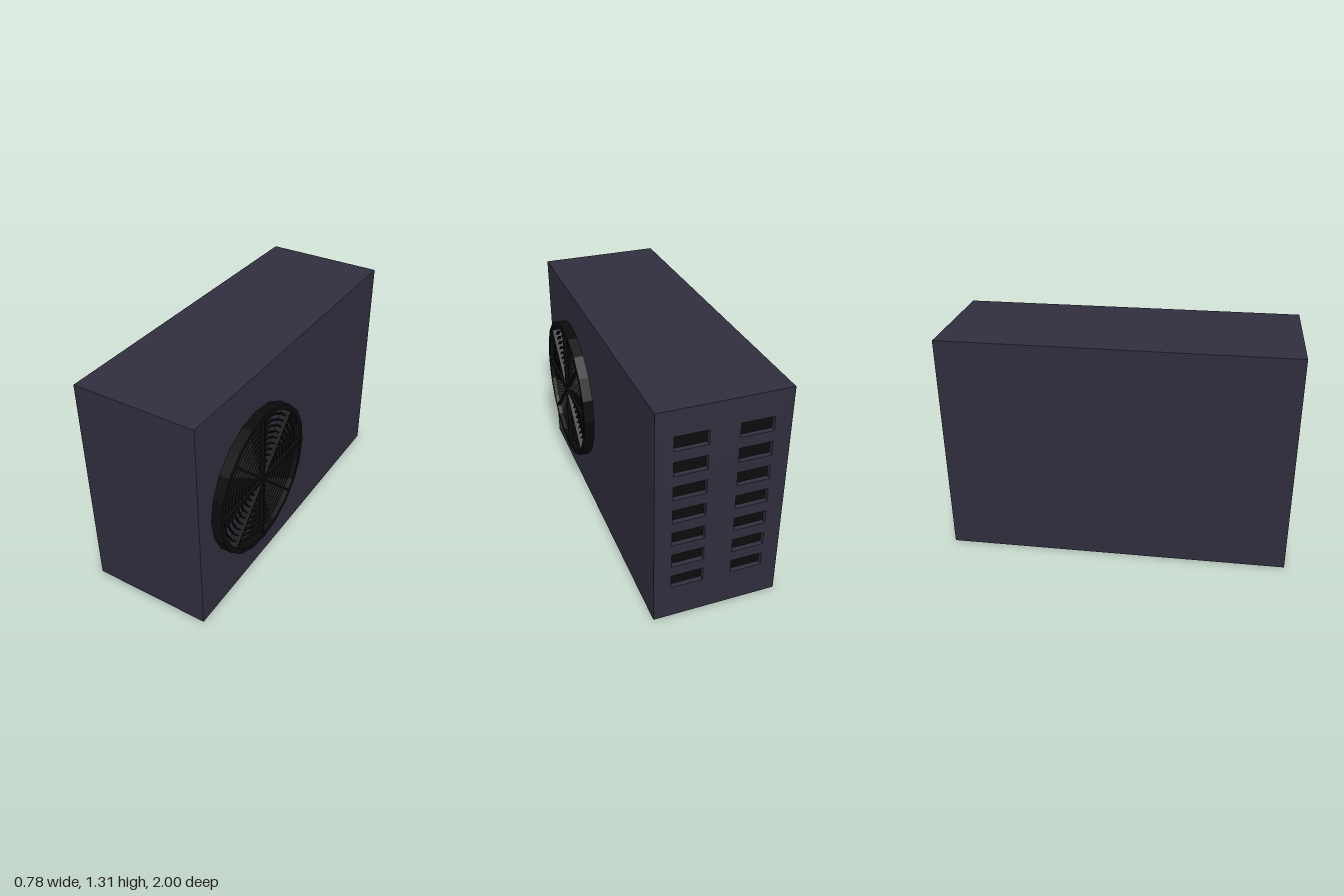
import * as THREE from 'three';

const casingMat = new THREE.MeshStandardMaterial({ color: 0x302d3d, flatShading: true });
const blackMat = new THREE.MeshStandardMaterial({ color: 0x0b0b0b, flatShading: true });

// Casing and fan dimensions
const X0 = -0.39, X1 = 0.33, H = 1.31, WALL = 0.03;
const FAN_DEPTH = 0.06, FAN_Y = 0.655, FAN_Z = 0.455, SIDES = 20;

function add(parent, name, geometry, material) {
  const mesh = new THREE.Mesh(geometry, material);
  mesh.name = name;
  parent.add(mesh);
  return mesh;
}

function polygon(radius) {
  return Array.from({ length: SIDES }, (_, i) => {
    const a = (i / SIDES) * Math.PI * 2;
    return new THREE.Vector2(Math.cos(a) * radius, Math.sin(a) * radius);
  });
}

// Faceted ring with a rectangular section, lying in the xy plane
function ring(outer, inner, depth) {
  const shape = new THREE.Shape(polygon(outer));
  shape.holes.push(new THREE.Path(polygon(inner).reverse()));
  return new THREE.ExtrudeGeometry(shape, { depth, bevelEnabled: false });
}

function rectPoints(x0, y0, x1, y1) {
  return [[x0, y0], [x1, y0], [x1, y1], [x0, y1]].map(([x, y]) => new THREE.Vector2(x, y));
}

function createCasing() {
  const casing = new THREE.Group();
  casing.name = 'casing';
  const cx = (X0 + X1) / 2;

  const body = add(casing, 'body', new THREE.BoxGeometry(X1 - X0, H, 2 - WALL), casingMat);
  body.position.set(cx, H / 2, WALL / 2);

  // Back wall pierced by two columns of vents
  const wall = new THREE.Shape(rectPoints(X0, 0, X1, H));
  for (const x of [0.05, -0.295]) {
    for (let i = 0; i < 7; i++) {
      const y = 1.08 - i * 0.146;
      wall.holes.push(new THREE.Path(rectPoints(x, y, x + 0.183, y + 0.083).reverse()));
    }
  }
  const back = add(casing, 'ventedBackWall',
    new THREE.ExtrudeGeometry(wall, { depth: WALL, bevelEnabled: false }), casingMat);
  back.position.z = -1;

  // Dark interior seen through the vents
  const dark = add(casing, 'ventBacking', new THREE.PlaneGeometry(0.66, 1.2), blackMat);
  dark.rotation.y = Math.PI;
  dark.position.set(cx, H / 2, -1 + WALL - 0.002);
  return casing;
}

function createFanGrille() {
  const fan = new THREE.Group();
  fan.name = 'fanGrille';
  add(fan, 'fanFrame', ring(0.435, 0.405, FAN_DEPTH), blackMat);

  // Concentric guard wires
  for (let i = 1; i <= 11; i++) {
    const r = i * 0.034;
    add(fan, 'guardRing', ring(r + 0.003, r - 0.003, 0.02), blackMat).position.z = 0.02;
  }

  // Four full-width bars make eight spokes
  for (let i = 0; i < 4; i++) {
    const bar = add(fan, 'spokeBar', new THREE.BoxGeometry(0.82, 0.012, FAN_DEPTH - 0.004), blackMat);
    bar.rotation.z = (i * Math.PI) / 4;
    bar.position.z = FAN_DEPTH / 2;
  }

  const hub = add(fan, 'hub', new THREE.CylinderGeometry(0.024, 0.024, FAN_DEPTH, SIDES), blackMat);
  hub.rotation.x = Math.PI / 2;
  hub.position.z = FAN_DEPTH / 2;

  // Turn the grille to face +x on the side of the casing
  fan.rotation.y = Math.PI / 2;
  fan.position.set(X1, FAN_Y, FAN_Z);
  return fan;
}

export function createModel() {
  const model = new THREE.Group();
  model.name = 'ventilatedUnit';
  model.add(createCasing(), createFanGrille());
  return model;
}
